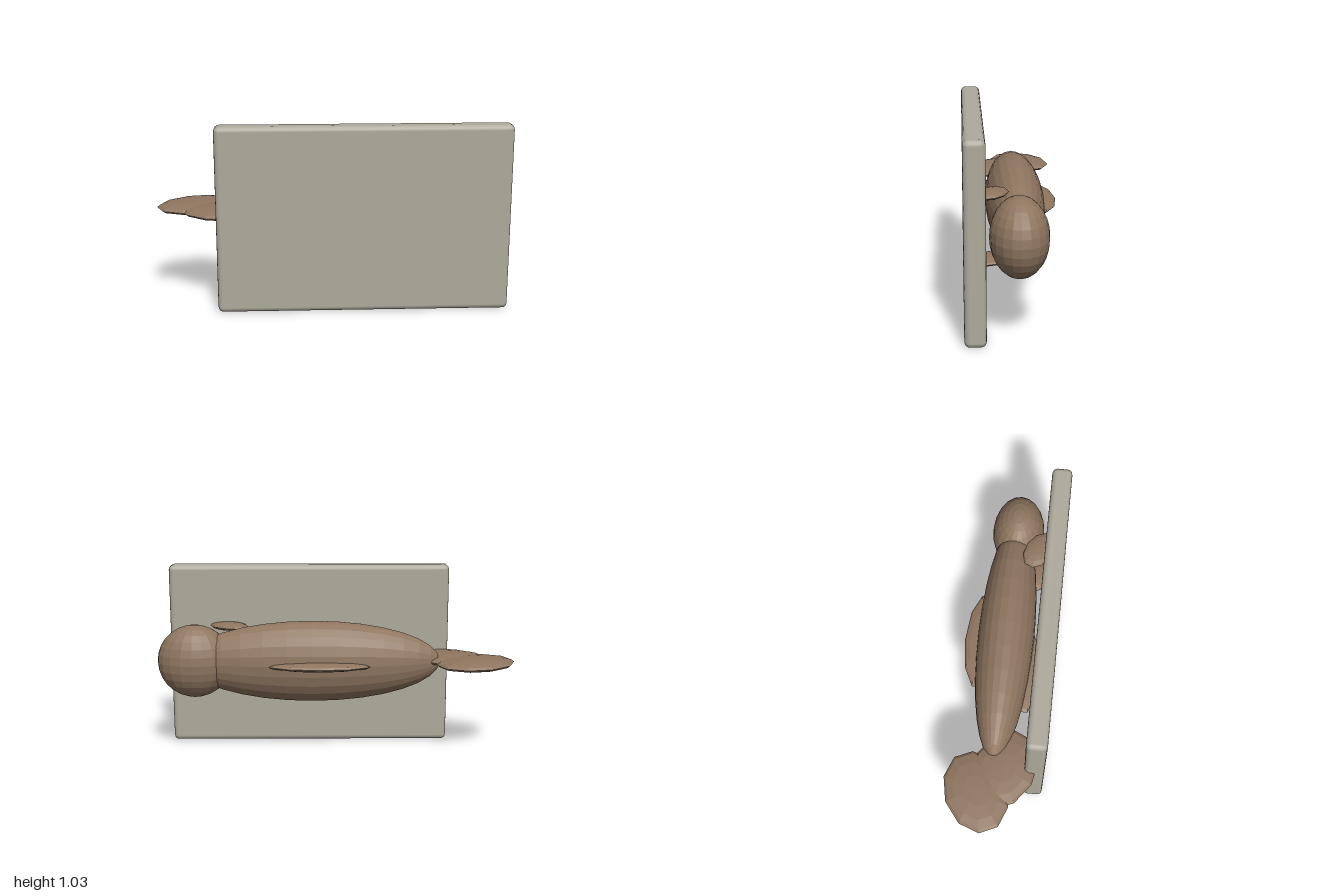
import * as THREE from 'three';
import { RoundedBoxGeometry } from 'three/addons/geometries/RoundedBoxGeometry.js';

export function createModel() {
  const group = new THREE.Group();
  const skin = new THREE.MeshStandardMaterial({ color: 0x8f7660 });
  skin.name = 'brown skin';
  skin.flatShading = true;
  const stone = new THREE.MeshStandardMaterial({ color: 0xaeaa9c });
  stone.name = 'grey plaque';

  function add(name, geometry, material, x, y, z) {
    const mesh = new THREE.Mesh(geometry, material);
    mesh.name = name;
    mesh.position.set(x, y, z);
    group.add(mesh);
    return mesh;
  }

  // Thin ten-sided ellipsoid lying in the xz plane, turned about y
  function fin(name, x, y, z, long, short, thick, turn = 0) {
    const g = new THREE.SphereGeometry(1, 10, 8);
    g.rotateY(Math.PI / 10); // a corner points along the short axis
    g.scale(long / Math.cos(0), thick, short);
    g.rotateY(turn);
    return add(name, g, skin, x, y, z);
  }

  // Backing plaque
  add('plaque', new RoundedBoxGeometry(1.6, 1.035, 0.11, 2, 0.028), stone, 0.15, 0.5175, 0.21);

  // Body, with its poles at nose and tail
  const body = new THREE.SphereGeometry(1, 24, 16);
  body.rotateZ(Math.PI / 2);
  body.scale(0.715, 0.229, 0.16);
  add('body', body, skin, 0.13, 0.52, -0.02);

  // Head
  const head = new THREE.SphereGeometry(1, 20, 14);
  head.scale(0.208, 0.206, 0.15);
  add('head', head, skin, 0.792, 0.52, -0.012);

  // Tail lobes
  fin('tailLobeBack', -0.778, 0.522, -0.093, 0.23, 0.172, 0.032, 0.42);
  fin('tailLobeFront', -0.641, 0.522, 0.045, 0.23, 0.172, 0.032, -0.42);

  // Fins on the back and belly edges
  fin('dorsalFin', 0.09, 0.52, -0.15, 0.29, 0.1, 0.026);
  fin('bellyFin', -0.08, 0.52, 0.12, 0.24, 0.07, 0.026);

  // Pair of side fins
  for (const side of [-1, 1]) {
    fin(side > 0 ? 'upperSideFin' : 'lowerSideFin', 0.605, 0.52 + side * 0.172, 0.122, 0.12, 0.08, 0.022, -0.5);
  }

  return group;
}
